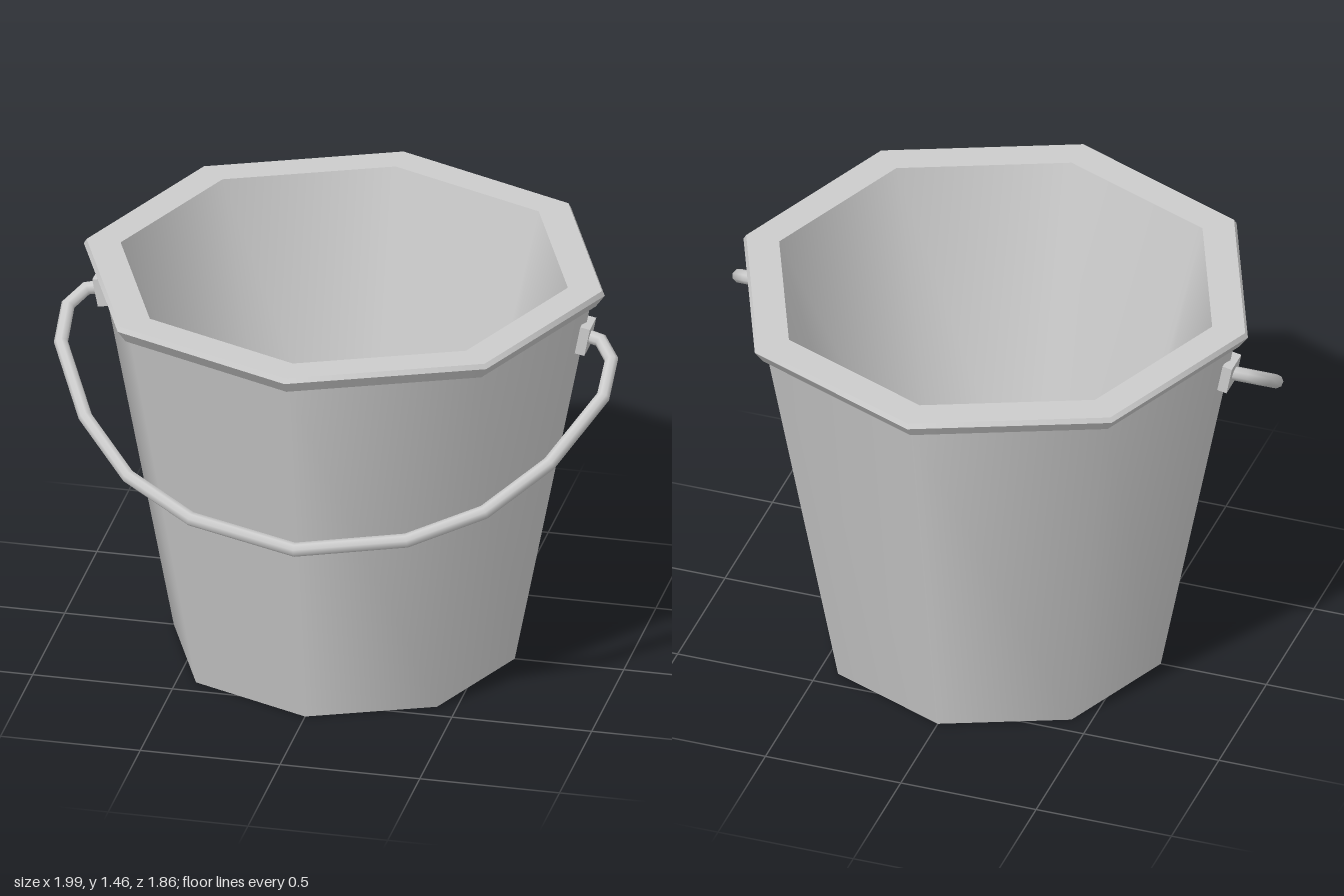
import * as THREE from 'three';

const SIDES = 8;

// Curve that keeps the corners of a polyline, one tube ring per point.
class Polyline extends THREE.Curve {
  constructor(points) {
    super();
    this.points = points;
  }
  getPointAt(u, target = new THREE.Vector3()) {
    const i = Math.round(u * (this.points.length - 1));
    return target.copy(this.points[i]);
  }
  getTangentAt(u, target = new THREE.Vector3()) {
    const p = this.points, n = p.length - 1, i = Math.round(u * n);
    target.set(0, 0, 0);
    if (i > 0) target.add(p[i].clone().sub(p[i - 1]).normalize());
    if (i < n) target.add(p[i + 1].clone().sub(p[i]).normalize());
    return target.normalize();
  }
}

export function createModel() {
  const bucket = new THREE.Group();
  bucket.name = 'bucket';
  const grey = new THREE.MeshStandardMaterial({ color: 0xcccccc });

  const add = (name, geometry) => {
    const mesh = new THREE.Mesh(geometry, grey);
    mesh.name = name;
    bucket.add(mesh);
    return mesh;
  };

  // Body: one eight-sided ring per profile step, smooth around, sharp between steps
  const profile = [
    [0, 0], [0.61, 0], [0.88, 1.4], [0.9, 1.4], [0.932, 1.445],
    [0.922, 1.462], [0.8, 1.462], [0.415, 0.08], [0, 0.08],
  ].map(([r, y]) => new THREE.Vector2(r, y));
  const names = ['underside', 'outerWall', 'rimUnderside', 'rimEdge',
    'rimBevel', 'rimTop', 'innerWall', 'floor'];
  names.forEach((name, i) =>
    add(name, new THREE.LatheGeometry([profile[i], profile[i + 1]], SIDES)));

  // Lugs: small plates lying along the sloping wall
  for (const [name, s] of [['leftLug', 1], ['rightLug', -1]]) {
    const lug = add(name, new THREE.BoxGeometry(0.035, 0.105, 0.1));
    lug.position.set(s * 0.863, 1.283, 0);
    lug.rotation.z = -s * Math.atan(0.27 / 1.4);
  }

  // Bail handle: half path as [x, z], lying in a plane that drops to the front
  const half = [
    [0.86, 0], [0.92, 0.012], [0.972, 0.07], [0.97, 0.19],
    [0.83, 0.42], [0.637, 0.595], [0.385, 0.71],
  ];
  const path = [
    ...half,
    [0, 0.775],
    ...half.map(([x, z]) => [-x, z]).reverse(),
  ].map(([x, z]) => new THREE.Vector3(x, 1.285 - 0.72 * z, z));
  add('handle', new THREE.TubeGeometry(new Polyline(path), path.length - 1, 0.025, 8));

  return bucket;
}
